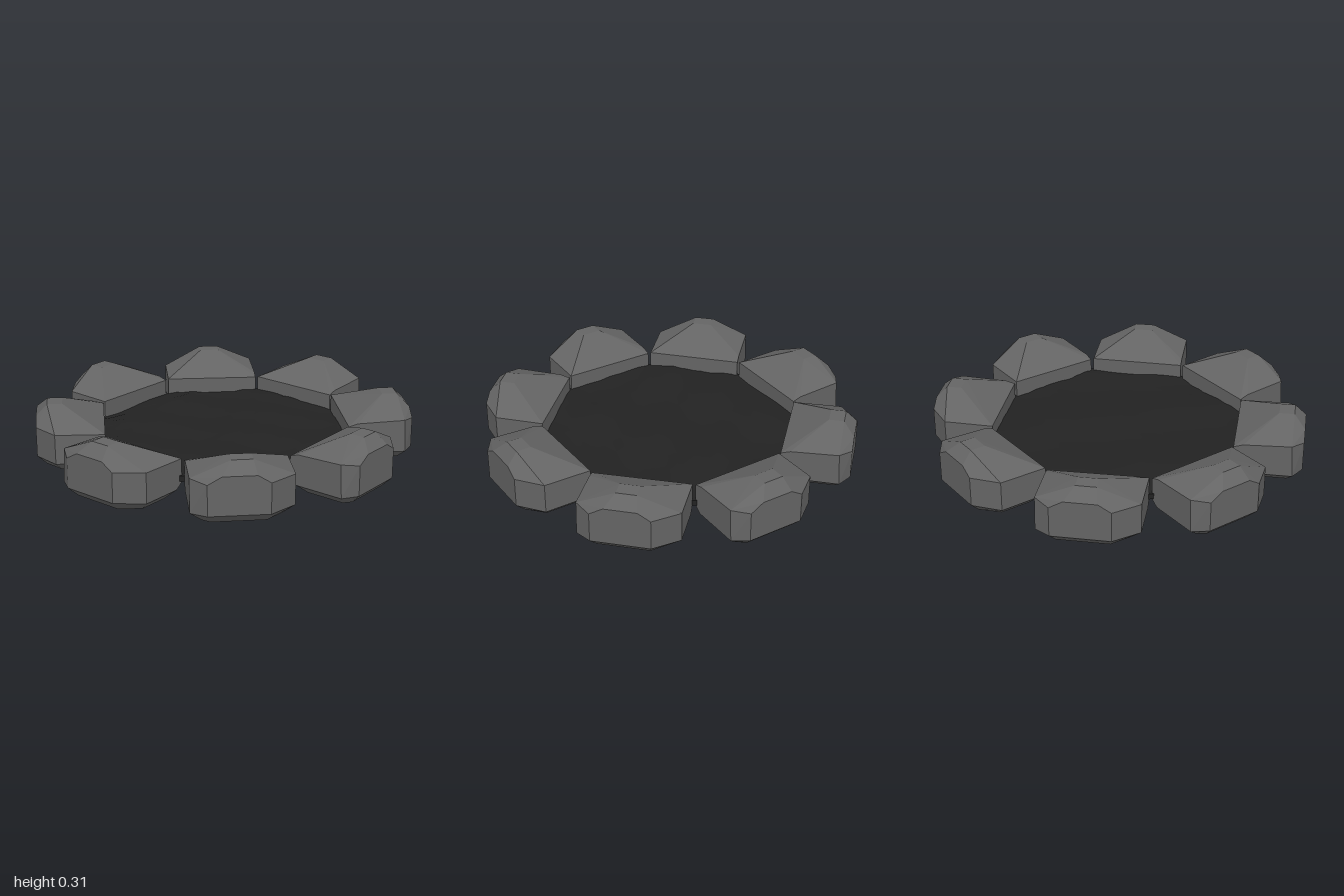
import * as THREE from 'three';
import { ConvexGeometry } from 'three/addons/geometries/ConvexGeometry.js';

const STONES = 8;

// One chipped stone, lying on the +z side of the ring
function stoneGeometry() {
  const corners = [
    // flat crown
    [-0.06, 0.31, 0.86], [0.045, 0.31, 0.86], [-0.06, 0.31, 0.94], [0.045, 0.31, 0.94],
    // outer face
    [-0.11, 0.25, 1], [0.06, 0.25, 1], [-0.18, 0.21, 1], [0.125, 0.21, 1],
    [-0.18, 0.05, 1], [0.125, 0.05, 1],
    // sides
    [-0.26, 0.225, 0.94], [-0.26, 0.05, 0.95], [0.255, 0.21, 0.9], [0.255, 0.05, 0.9],
    // inner face
    [-0.26, 0.215, 0.69], [-0.26, 0.2, 0.64], [0.255, 0.205, 0.64],
    [-0.26, 0.08, 0.64], [0.255, 0.08, 0.64], [-0.26, 0.05, 0.68], [0.255, 0.05, 0.68],
    // base
    [-0.2, 0, 0.71], [0.2, 0, 0.71], [-0.2, 0, 0.92], [0.2, 0, 0.87],
    [-0.16, 0, 0.95], [0.11, 0, 0.95],
  ].map((p) => new THREE.Vector3(...p));
  return new ConvexGeometry(corners);
}

// Thin uneven slab: a gridded box squeezed into a disc
function ashGeometry(radius) {
  const geometry = new THREE.BoxGeometry(2, 0.03, 2, 18, 1, 18);
  const pos = geometry.attributes.position;
  for (let i = 0; i < pos.count; i++) {
    const x = pos.getX(i), z = pos.getZ(i);
    const bump = 0.007 * Math.sin(7 * x + 3 * z) + 0.006 * Math.sin(11 * z - 5 * x + 1)
      + 0.004 * Math.sin(23 * x) * Math.sin(19 * z);
    pos.setXYZ(i,
      radius * x * Math.sqrt(1 - z * z / 2),
      0.105 + pos.getY(i) + bump,
      radius * z * Math.sqrt(1 - x * x / 2));
  }
  geometry.computeVertexNormals();
  return geometry;
}

export function createModel() {
  const model = new THREE.Group();
  model.name = 'firePit';

  const stoneGrey = new THREE.MeshStandardMaterial({ color: 0x646464, flatShading: true });
  stoneGrey.name = 'stone grey';
  const ashBlack = new THREE.MeshStandardMaterial({ color: 0x222222 });
  ashBlack.name = 'ash black';

  // Ring of stones
  const ring = new THREE.Group();
  ring.name = 'stoneRing';
  const geometry = stoneGeometry();
  for (let i = 0; i < STONES; i++) {
    const stone = new THREE.Mesh(geometry, stoneGrey);
    stone.name = `stone${i + 1}`;
    stone.rotation.y = (i / STONES) * Math.PI * 2;
    ring.add(stone);
  }
  model.add(ring);

  // Bed of ash inside the ring
  const ash = new THREE.Mesh(ashGeometry(0.705), ashBlack);
  ash.name = 'ashBed';
  model.add(ash);

  return model;
}
